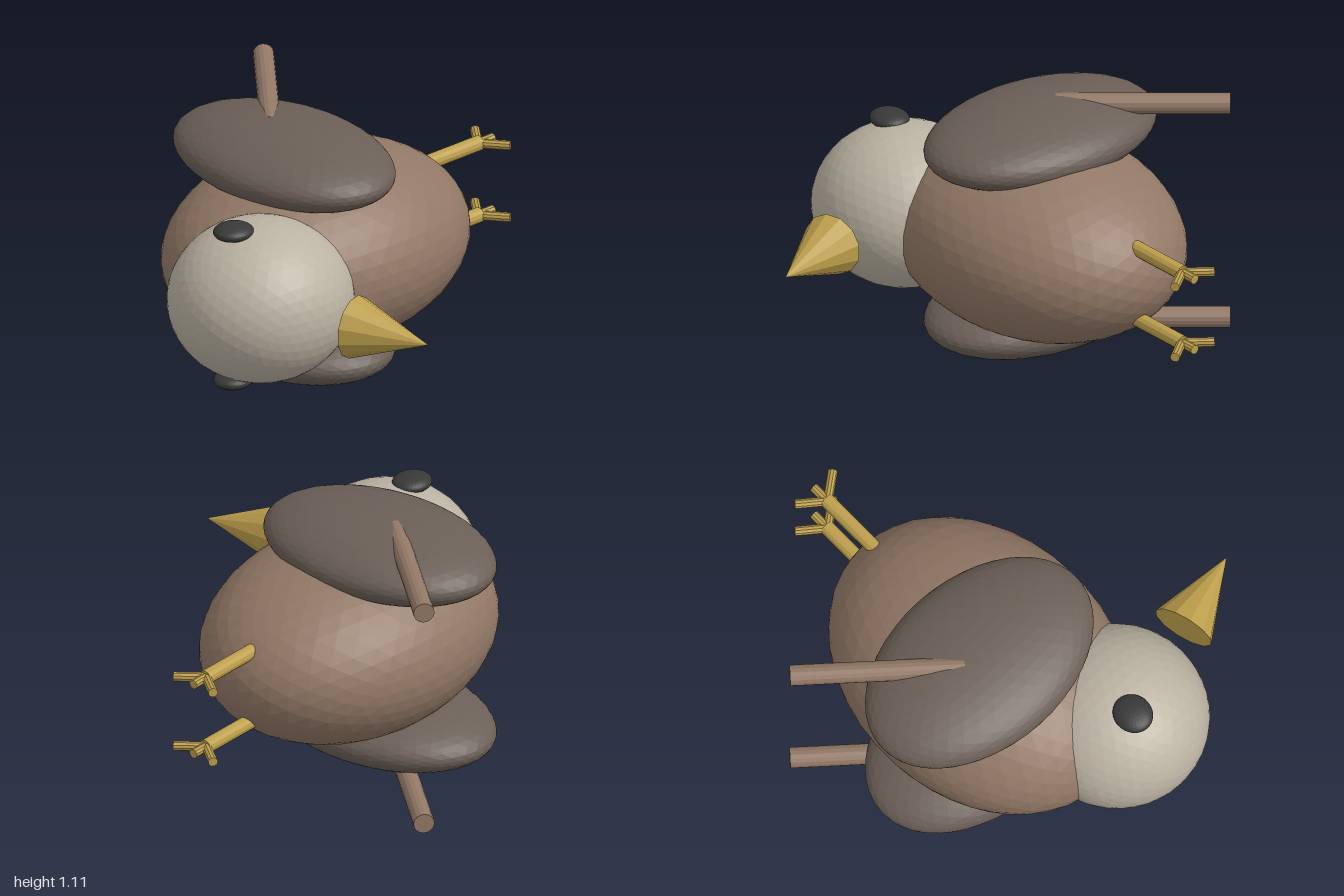
import * as THREE from 'three';

const MID = 0.557; // height of the bird's own symmetry plane (it lies on its side)

const makeMaterial = (name, color) => {
  const m = new THREE.MeshStandardMaterial({ color, flatShading: true });
  m.name = name;
  return m;
};

export function createModel() {
  const brown = makeMaterial('brown plumage', 0x927866);
  const darkBrown = makeMaterial('dark wing', 0x6b5f57);
  const cream = makeMaterial('pale head', 0xbab2a2);
  const gold = makeMaterial('golden beak and feet', 0xbd9f4c);
  const black = makeMaterial('dark eye', 0x383838);

  const bird = new THREE.Group();
  bird.name = 'bird';

  const add = (name, geometry, material) => {
    const mesh = new THREE.Mesh(geometry, material);
    mesh.name = name;
    bird.add(mesh);
    return mesh;
  };

  // Faceted ellipsoid from its centre and half sizes
  const ellipsoid = (name, center, half, material, detail = 7) => {
    const mesh = add(name, new THREE.IcosahedronGeometry(1, detail), material);
    mesh.position.set(...center);
    mesh.scale.set(...half);
  };

  // Cylinder or cone running between two points
  const rod = (name, from, to, r0, r1, sides, material) => {
    const a = new THREE.Vector3(...from);
    const b = new THREE.Vector3(...to);
    const axis = b.clone().sub(a);
    const mesh = add(name, new THREE.CylinderGeometry(r1, r0, axis.length(), sides), material);
    mesh.position.copy(a).add(b).multiplyScalar(0.5);
    mesh.quaternion.setFromUnitVectors(new THREE.Vector3(0, 1, 0), axis.normalize());
  };

  ellipsoid('body', [-0.16, MID, 0.043], [0.56, 0.42, 0.727], brown);
  ellipsoid('head', [0.1, MID, 0.6], [0.395, 0.352, 0.4], cream);
  rod('beak', [0.58, MID, 0.507], [0.93, MID, 0.403], 0.138, 0, 12, gold);

  // Paired parts, mirrored about the middle plane
  for (const s of [1, -1]) {
    const side = s > 0 ? 'upper' : 'lower';
    const y = (d) => MID + s * d;

    ellipsoid(side + 'Eye', [0.073, y(0.343), 0.732], [0.082, 0.036, 0.09], black, 5);
    ellipsoid(side + 'Wing', [-0.255, y(0.4), 0.135], [0.563, 0.153, 0.375], darkBrown);

    // Feather shaft half sunk into the wing
    rod(side + 'WingFeather', [-0.34, y(0.508), 0.135], [-0.903, y(0.508), -0.345], 0.045, 0.045, 16, brown);

    // Leg and three spread toes
    const ly = y(0.167);
    rod(side + 'Leg', [-0.163, ly, -0.45], [-0.163, ly, -0.903], 0.033, 0.033, 12, gold);
    for (const t of [-1, 0, 1]) {
      rod(side + 'Toe', [-0.163, ly, -0.895], [-0.163 + t * 0.11, ly, -0.98], 0.021, 0.021, 10, gold);
    }
  }

  return bird;
}
